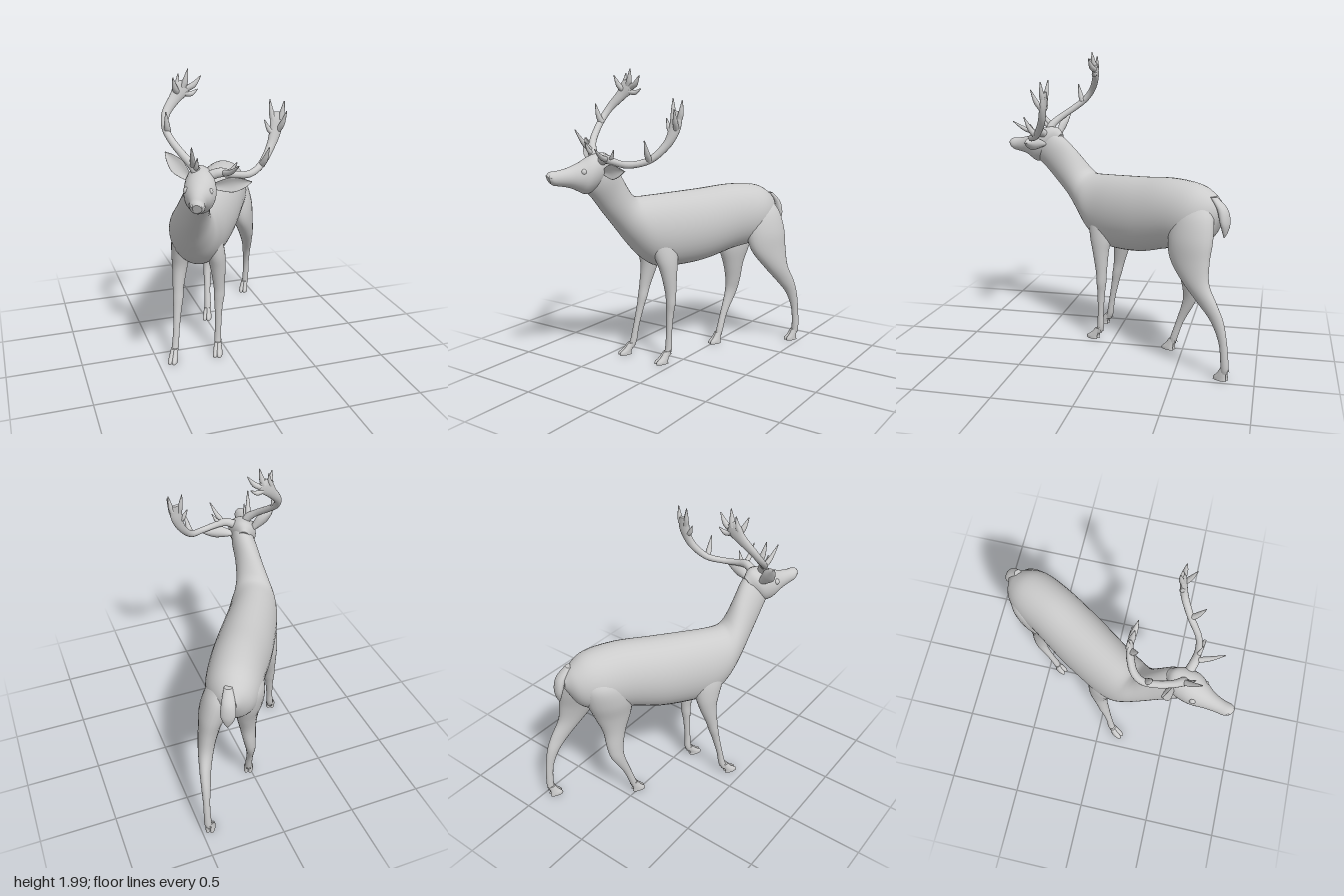
import * as THREE from 'three';

const V = (x, y, z) => new THREE.Vector3(x, y, z);
const SIDE = V(0.894, 0, 0.447);   // the animal's left
const FWD = V(-0.447, 0, 0.894);   // the direction it walks in
const material = new THREE.MeshStandardMaterial({ color: 0xcccccc });

// Smooth skin over elliptical rings { c, a, b }: centre and two half axes. cup bends the ring into a scoop.
function loft(rings, { around = 24, steps = 5, cup = 0 } = {}) {
  const [C, A, B] = ['c', 'a', 'b'].map(k =>
    new THREE.CatmullRomCurve3(rings.map(r => r[k]), false, 'catmullrom', 0.5));
  const n = (rings.length - 1) * steps;
  const pos = [], idx = [];
  const ringAt = t => {
    const c = C.getPoint(t), a = A.getPoint(t), b = B.getPoint(t);
    for (let j = 0; j < around; j++) {
      const u = j / around * Math.PI * 2, k = Math.cos(u);
      const p = c.clone().addScaledVector(a, k).addScaledVector(b, Math.sin(u) + cup * k * k);
      pos.push(p.x, p.y, p.z);
    }
  };
  const m = Math.floor(rings.length / 2);
  const axis = rings[m].c.clone().sub(rings[m - 1].c);
  const flip = rings[m].a.clone().cross(rings[m].b).dot(axis) < 0;
  const tri = (p, q, r) => (flip ? idx.push(p, r, q) : idx.push(p, q, r));
  for (let i = 0; i <= n; i++) ringAt(i / n);
  for (let i = 0; i < n; i++) for (let j = 0; j < around; j++) {
    const p = i * around + j, q = i * around + (j + 1) % around;
    tri(p, q, p + around);
    tri(q, q + around, p + around);
  }
  // End caps with their own vertices
  for (const t of [0, 1]) {
    const s = pos.length / 3;
    ringAt(t);
    const c = C.getPoint(t).addScaledVector(B.getPoint(t), cup * 0.5);
    pos.push(c.x, c.y, c.z);
    for (let j = 0; j < around; j++) {
      const p = s + j, q = s + (j + 1) % around;
      t ? tri(p, q, s + around) : tri(q, p, s + around);
    }
  }
  const g = new THREE.BufferGeometry();
  g.setAttribute('position', new THREE.Float32BufferAttribute(pos, 3));
  g.setIndex(idx);
  g.computeVertexNormals();
  return g;
}

// Ring from its top and bottom points: [x, zTop, yTop, zBottom, yBottom, halfWidth]
const spineRing = ([x, zt, yt, zb, yb, w]) => ({
  c: V(x, (yt + yb) / 2, (zt + zb) / 2),
  a: SIDE.clone().multiplyScalar(w),
  b: V((zb - zt) / 4, (yt - yb) / 2, (zt - zb) / 2),
});
// Level ring: [x, y, z, halfWidth, halfDepth]
const levelRing = ([x, y, z, w, d]) => ({
  c: V(x, y, z), a: SIDE.clone().multiplyScalar(w), b: FWD.clone().multiplyScalar(d),
});
// Rings along a path: [x, y, z, radius, broadening]
function branchRings(pts) {
  return pts.map(([x, y, z, r, broad = 1], i) => {
    const p = pts[Math.max(i - 1, 0)], q = pts[Math.min(i + 1, pts.length - 1)];
    const t = V(q[0] - p[0], q[1] - p[1], q[2] - p[2]).normalize();
    const a = t.clone().cross(V(0, 0, 1)).normalize();
    const b = t.clone().cross(a);
    return { c: V(x, y, z), a: a.multiplyScalar(r * broad), b: b.multiplyScalar(r) };
  });
}

export function createModel() {
  const model = new THREE.Group();
  model.name = 'stag';
  const add = (name, geometry, parent = model) => {
    const mesh = new THREE.Mesh(geometry, material);
    mesh.name = name;
    parent.add(mesh);
    return mesh;
  };
  const group = name => {
    const g = new THREE.Group();
    g.name = name;
    model.add(g);
    return g;
  };

  // Trunk and neck in one skin
  add('bodyAndNeck', loft([
    [0.28, -0.765, 1.06, -0.765, 0.98, 0.03],
    [0.25, -0.71, 1.125, -0.69, 0.84, 0.12],
    [0.2, -0.61, 1.185, -0.57, 0.77, 0.172],
    [0.11, -0.43, 1.203, -0.42, 0.74, 0.183],
    [-0.01, -0.23, 1.185, -0.23, 0.68, 0.19],
    [-0.116, -0.06, 1.172, -0.06, 0.66, 0.185],
    [-0.2, 0.09, 1.162, 0.06, 0.668, 0.175],
    [-0.25, 0.18, 1.16, 0.16, 0.74, 0.163],
    [-0.28, 0.22, 1.18, 0.25, 0.85, 0.14],
    [-0.295, 0.26, 1.225, 0.34, 0.965, 0.115],
    [-0.3, 0.33, 1.315, 0.44, 1.075, 0.095],
    [-0.3, 0.41, 1.4, 0.54, 1.185, 0.086],
    [-0.305, 0.49, 1.46, 0.6, 1.235, 0.07],
  ].map(spineRing), { around: 36 }));

  // Head with muzzle
  add('head', loft([
    [-0.29, 0.42, 1.43, 0.49, 1.28, 0.045],
    [-0.305, 0.47, 1.475, 0.55, 1.235, 0.087],
    [-0.325, 0.56, 1.468, 0.61, 1.225, 0.097],
    [-0.35, 0.63, 1.43, 0.65, 1.245, 0.083],
    [-0.375, 0.7, 1.4, 0.7, 1.27, 0.06],
    [-0.395, 0.77, 1.385, 0.76, 1.285, 0.047],
    [-0.41, 0.83, 1.38, 0.81, 1.295, 0.044],
    [-0.417, 0.855, 1.362, 0.835, 1.31, 0.026],
  ].map(spineRing), { around: 28 }));
  for (const s of [1, -1]) {
    const eye = add(s > 0 ? 'leftEye' : 'rightEye', new THREE.SphereGeometry(0.02, 16, 12));
    eye.position.set(-0.35, 1.37, 0.632).addScaledVector(SIDE, 0.068 * s);
    const nostril = add(s > 0 ? 'leftNostril' : 'rightNostril', new THREE.SphereGeometry(0.012, 12, 8));
    nostril.position.set(-0.415, 1.35, 0.835).addScaledVector(SIDE, 0.026 * s);
  }

  // Cupped, leaf-shaped ears
  const ear = (name, base, tip, across, front) => {
    const shape = [[0, 0.35], [0.2, 0.7], [0.5, 1], [0.8, 0.62], [1, 0.05]];
    add(name, loft(shape.map(([t, w]) => ({
      c: base.clone().lerp(tip, t),
      a: across.clone().multiplyScalar(w),
      b: front.clone().multiplyScalar(0.3 + 0.7 * w),
    })), { cup: 1.6 }));
  };
  ear('leftEar', V(-0.23, 1.36, 0.53), V(-0.015, 1.388, 0.605), V(0.01, -0.046, 0), V(-0.005, 0, 0.014));
  ear('rightEar', V(-0.355, 1.4, 0.47), V(-0.485, 1.558, 0.415), V(0.034, 0.03, 0), V(-0.004, 0, 0.014));

  // Legs, from the hip or shoulder down, each ending in a cloven hoof
  const leg = (name, foot, rings) => {
    const g = group(name);
    add('limb', loft(rings.map(levelRing)), g);
    const [, , , , ] = rings;
    const [ax, , az] = rings[rings.length - 1];
    for (const s of [1, -1]) {
      const toe = V(foot[0], 0, foot[1]).addScaledVector(SIDE, 0.014 * s);
      const top = V(ax, 0, az).addScaledVector(SIDE, 0.008 * s);
      add('toe', loft([
        [toe.x, 0.005, toe.z, 0.018, 0.046],
        [toe.x, 0.022, toe.z, 0.018, 0.043],
        [(toe.x + top.x) / 2, 0.048, (toe.z + top.z) / 2, 0.018, 0.03],
        [top.x, 0.085, top.z, 0.016, 0.02],
      ].map(levelRing), { around: 16 }), g);
      const claw = add('dewclaw', new THREE.ConeGeometry(0.01, 0.04, 10), g);
      claw.position.set(ax, 0.075, az).addScaledVector(SIDE, 0.012 * s).addScaledVector(FWD, -0.024);
      claw.rotation.set(Math.PI + 0.5, 0, 0);
    }
  };
  leg('leftFrontLeg', [-0.082, 0.148], [
    [-0.12, 0.96, 0.09, 0.05, 0.07], [-0.1, 0.85, 0.09, 0.065, 0.095], [-0.075, 0.74, 0.09, 0.062, 0.082],
    [-0.06, 0.64, 0.087, 0.052, 0.058], [-0.05, 0.5, 0.08, 0.038, 0.038], [-0.05, 0.42, 0.08, 0.036, 0.032],
    [-0.055, 0.34, 0.083, 0.027, 0.025], [-0.06, 0.2, 0.088, 0.022, 0.02], [-0.063, 0.1, 0.09, 0.024, 0.024],
    [-0.068, 0.05, 0.105, 0.022, 0.024]]);
  leg('rightFrontLeg', [-0.402, 0.145], [
    [-0.28, 0.96, 0.03, 0.05, 0.07], [-0.29, 0.85, 0.01, 0.065, 0.1], [-0.293, 0.74, -0.01, 0.062, 0.085],
    [-0.3, 0.64, -0.012, 0.052, 0.062], [-0.32, 0.5, 0.012, 0.038, 0.04], [-0.328, 0.42, 0.028, 0.036, 0.033],
    [-0.338, 0.34, 0.045, 0.028, 0.026], [-0.356, 0.2, 0.073, 0.022, 0.021], [-0.368, 0.1, 0.088, 0.024, 0.024],
    [-0.38, 0.05, 0.105, 0.022, 0.024]]);
  leg('leftHindLeg', [0.437, -0.793], [
    [0.27, 1.08, -0.6, 0.05, 0.08], [0.29, 0.99, -0.59, 0.09, 0.135], [0.322, 0.86, -0.575, 0.092, 0.155],
    [0.352, 0.73, -0.575, 0.072, 0.14], [0.392, 0.6, -0.62, 0.054, 0.095], [0.43, 0.48, -0.7, 0.038, 0.068],
    [0.45, 0.38, -0.762, 0.03, 0.044], [0.462, 0.25, -0.802, 0.022, 0.027], [0.462, 0.1, -0.817, 0.024, 0.025],
    [0.452, 0.05, -0.812, 0.022, 0.024]]);
  leg('rightHindLeg', [0.008, -0.405], [
    [0.12, 1.08, -0.62, 0.05, 0.08], [0.09, 0.99, -0.6, 0.085, 0.135], [0.082, 0.86, -0.565, 0.092, 0.15],
    [0.085, 0.73, -0.54, 0.076, 0.125], [0.08, 0.6, -0.54, 0.056, 0.08], [0.07, 0.47, -0.553, 0.042, 0.058],
    [0.056, 0.37, -0.545, 0.032, 0.046], [0.035, 0.22, -0.485, 0.022, 0.027], [0.025, 0.1, -0.445, 0.024, 0.025],
    [0.018, 0.05, -0.432, 0.022, 0.024]]);

  // Short hanging tail
  add('tail', loft([
    [0.28, 1.12, -0.71, 0.025, 0.02], [0.3, 1.05, -0.765, 0.042, 0.03], [0.31, 0.97, -0.785, 0.046, 0.027],
    [0.312, 0.91, -0.787, 0.025, 0.015], [0.312, 0.875, -0.782, 0.004, 0.004]].map(levelRing)));

  // Antlers: a main beam broadening to a palm, with pointed tines
  const antler = (name, beam, tines) => {
    const g = group(name);
    add('beam', loft(branchRings(beam), { around: 16 }), g);
    for (const [from, to, r, bow = 0.015] of tines) {
      const mid = from.map((v, i) => (v + to[i]) / 2);
      add('tine', loft(branchRings([
        [...from, r], [mid[0], mid[1] - bow, mid[2], r * 0.85], [...to, 0.003]]), { around: 12 }), g);
    }
  };
  antler('leftAntler', [
    [-0.25, 1.43, 0.545, 0.03], [-0.19, 1.448, 0.565, 0.028], [-0.11, 1.432, 0.575, 0.022],
    [-0.015, 1.422, 0.56, 0.021], [0.085, 1.452, 0.49, 0.022], [0.165, 1.54, 0.43, 0.024, 1.1],
    [0.205, 1.63, 0.405, 0.022, 1.7], [0.215, 1.7, 0.395, 0.017, 2.4], [0.218, 1.745, 0.385, 0.01, 2.2]], [
    [[-0.18, 1.445, 0.57], [-0.14, 1.525, 0.735], 0.018],
    [[-0.16, 1.445, 0.57], [-0.105, 1.51, 0.6], 0.015],
    [[0.085, 1.45, 0.495], [0.105, 1.575, 0.57], 0.02],
    [[0.195, 1.69, 0.395], [0.178, 1.82, 0.375], 0.018],
    [[0.24, 1.7, 0.395], [0.262, 1.81, 0.4], 0.018],
    [[0.19, 1.62, 0.41], [0.14, 1.7, 0.39], 0.018],
    [[0.225, 1.64, 0.41], [0.25, 1.76, 0.47], 0.018]]);
  antler('rightAntler', [
    [-0.32, 1.43, 0.53, 0.03], [-0.345, 1.485, 0.515, 0.028], [-0.388, 1.54, 0.46, 0.023],
    [-0.43, 1.605, 0.37, 0.022], [-0.45, 1.67, 0.29, 0.022], [-0.43, 1.745, 0.232, 0.022, 1.2],
    [-0.365, 1.825, 0.195, 0.022, 1.7], [-0.32, 1.88, 0.185, 0.018, 3], [-0.295, 1.915, 0.185, 0.01, 3]], [
    [[-0.345, 1.485, 0.52], [-0.385, 1.625, 0.63], 0.018],
    [[-0.335, 1.47, 0.53], [-0.34, 1.55, 0.59], 0.015],
    [[-0.44, 1.65, 0.31], [-0.458, 1.775, 0.345], 0.02],
    [[-0.31, 1.89, 0.185], [-0.282, 1.998, 0.2], 0.02],
    [[-0.285, 1.88, 0.185], [-0.203, 1.955, 0.205], 0.02],
    [[-0.35, 1.86, 0.19], [-0.385, 1.955, 0.24], 0.02],
    [[-0.355, 1.88, 0.185], [-0.335, 1.97, 0.175], 0.017],
    [[-0.3, 1.85, 0.185], [-0.215, 1.87, 0.175], 0.018]]);

  return model;
}
